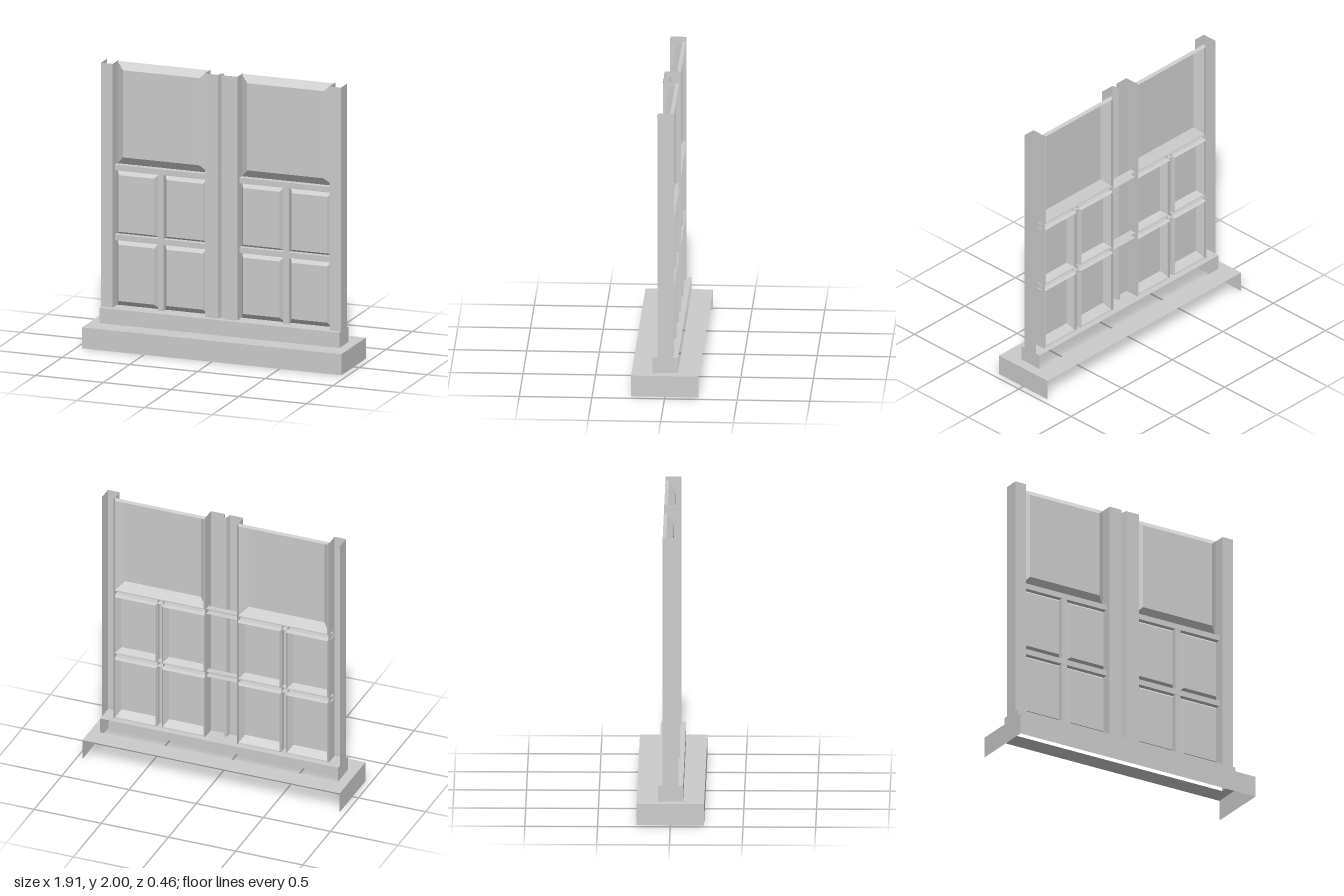
import * as THREE from 'three';

const material = new THREE.MeshStandardMaterial({ color: 0xcccccc, flatShading: true, side: THREE.DoubleSide });

// Sheet of flat quads between successive cross-sections
function loft(sections, closed = false) {
  const pos = [];
  for (let i = 0; i < sections.length - 1; i++) {
    const a = sections[i], b = sections[i + 1], n = a.length;
    for (let j = 0; j < (closed ? n : n - 1); j++) {
      const k = (j + 1) % n;
      pos.push(...a[j], ...a[k], ...b[k], ...a[j], ...b[k], ...b[j]);
    }
  }
  const g = new THREE.BufferGeometry();
  g.setAttribute('position', new THREE.Float32BufferAttribute(pos, 3));
  g.computeVertexNormals();
  return g;
}

function add(parent, name, geometry) {
  const mesh = new THREE.Mesh(geometry, material);
  mesh.name = name;
  parent.add(mesh);
  return mesh;
}

// Upright open-backed profile of [x, z] points
const upright = (pts, y0, y1) => loft([y0, y1].map(y => pts.map(([x, z]) => [x, y, z])));
const channel = (x0, x1, back, front) => [[x0, back], [x0, front], [x1, front], [x1, back]];

// Horizontal open-backed rail
const rail = (y0, y1, back, front, half) => loft([-half, half].map(x =>
  [[x, y1, back], [x, y1, front], [x, y0, front], [x, y0, back]]));

function rectPath(P, w, d) {
  const p = new P();
  p.moveTo(-w, -d);
  p.lineTo(w, -d);
  p.lineTo(w, d);
  p.lineTo(-w, d);
  p.closePath();
  return p;
}

// Plinth tier: front and side walls with a top, open behind and below
function tier(name, w, d, y0, y1, hole) {
  const group = new THREE.Group();
  group.name = name;
  add(group, name + 'Walls', upright(channel(-w, w, -d, d), y0, y1));
  const shape = rectPath(THREE.Shape, w, d);
  if (hole) shape.holes.push(rectPath(THREE.Path, ...hole));
  add(group, name + 'Top', new THREE.ShapeGeometry(shape).rotateX(-Math.PI / 2).translate(0, y1, 0));
  return group;
}

// Raised panel: back lip, bevel and flat field
function panel(parent, name, [x0, x1, y0, y1], [bx, bottom, top], zFront) {
  const ring = (l, r, b, t, z) => [[l, b, z], [r, b, z], [r, t, z], [l, t, z]];
  const lip = 0.008;
  const inner = ring(x0 + bx, x1 - bx, y0 + bottom, y1 - top, zFront);
  const group = new THREE.Group();
  group.name = name;
  add(group, name + 'Bevel', loft([
    ring(x0 + lip, x1 - lip, y0 + lip, y1 - lip, -0.055),
    ring(x0, x1, y0, y1, -0.03),
    inner,
  ], true));
  add(group, name + 'Field', loft([[inner[0], inner[1]], [inner[3], inner[2]]]));
  parent.add(group);
}

export function createModel() {
  const model = new THREE.Group();
  model.name = 'doubleDoor';

  // Stepped plinth
  model.add(tier('base', 0.957, 0.232, 0, 0.15, [0.886, 0.087]));
  model.add(tier('sill', 0.886, 0.087, 0.15, 0.26));

  // Side posts
  add(model, 'rightPost', upright(channel(-0.886, -0.8, -0.055, 0.055), 0.26, 2));
  add(model, 'leftPost', upright(channel(0.8, 0.886, -0.055, 0.055), 0.26, 2));

  // Centre post with the groove where the doors meet
  add(model, 'centrePost', upright([
    [-0.12, -0.055], [-0.12, 0.055], [-0.022, 0.055], [-0.012, 0.012],
    [0.004, 0.012], [0.016, 0.055], [0.12, 0.055], [0.12, -0.055],
  ], 0.26, 2));

  // Rails running through both doors
  for (const y of [0.753, 1.25]) add(model, 'rail', rail(y - 0.02, y + 0.02, -0.03, 0.015, 0.808));

  for (const side of [-1, 1]) {
    const door = new THREE.Group();
    door.name = side < 0 ? 'rightDoor' : 'leftDoor';
    const span = (a, b) => (side < 0 ? [-b, -a] : [a, b]);

    // Upright bar between the small panels
    add(door, 'mullion', upright(channel(...span(0.442, 0.484), -0.03, 0.013), 0.26, 1.25));

    // Large upper panel and four small ones
    panel(door, 'upperPanel', [...span(0.12, 0.798), 1.268, 2], [0.057, 0.06, 0.05], 0.015);
    for (const [a, b] of [[0.12, 0.445], [0.48, 0.798]]) {
      panel(door, 'middlePanel', [...span(a, b), 0.77, 1.235], [0.028, 0.026, 0.035], 0.02);
      panel(door, 'lowerPanel', [...span(a, b), 0.26, 0.738], [0.028, 0.042, 0.035], 0.02);
    }
    model.add(door);
  }
  return model;
}
